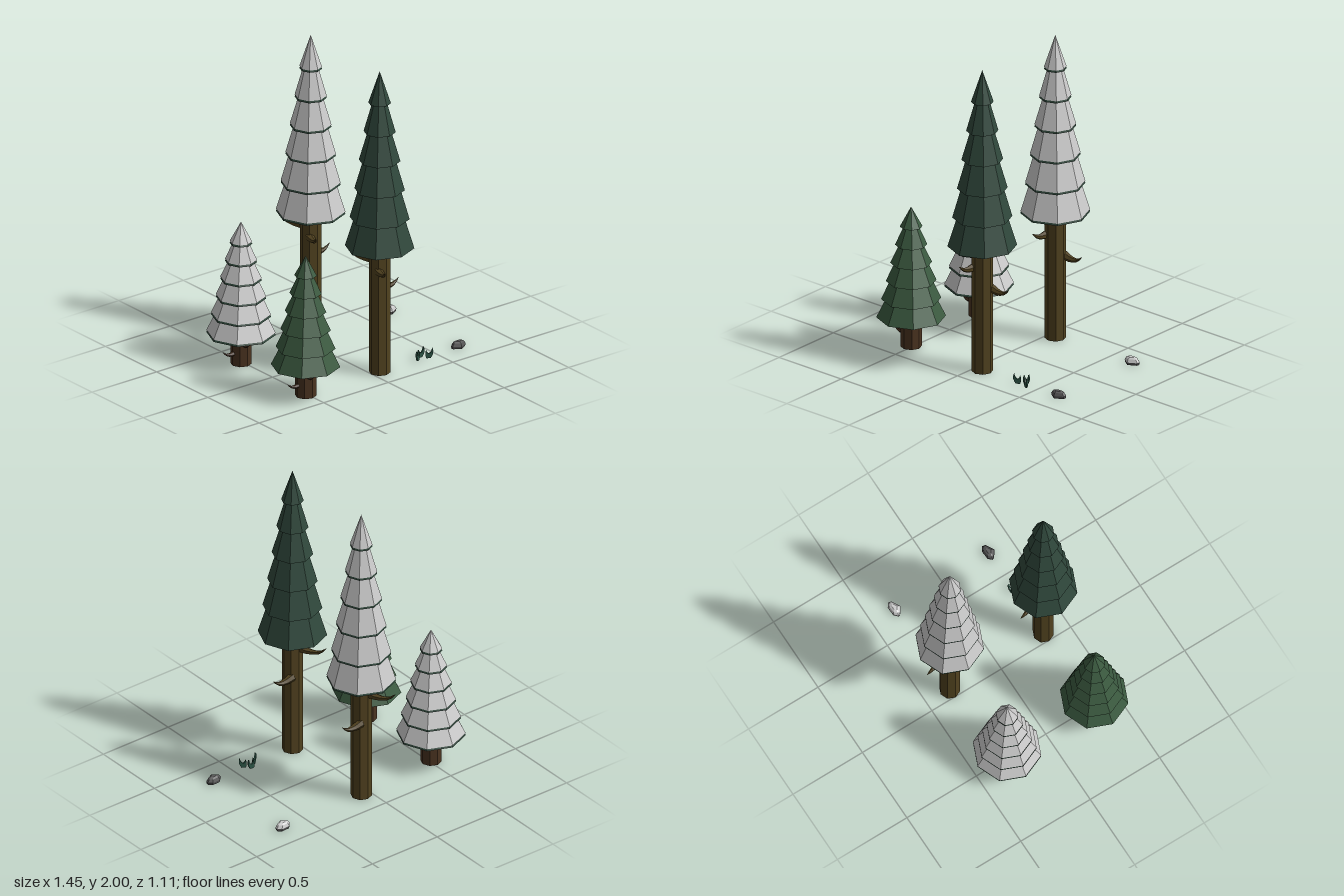
import * as THREE from 'three';
import { ConvexGeometry } from 'three/addons/geometries/ConvexGeometry.js';

const paint = (color) => new THREE.MeshStandardMaterial({ color, flatShading: true, side: THREE.DoubleSide });
const snow = paint(0xcccccc);
const tallGreen = paint(0x30483c);
const shortGreen = paint(0x3b5a40);
const tallBark = paint(0x51421f);
const shortBark = paint(0x4a3320);
const grassGreen = paint(0x2c5546);
const stone = paint(0x555555);

function add(parent, name, geometry, material, x = 0, y = 0, z = 0) {
  const mesh = new THREE.Mesh(geometry, material);
  mesh.name = name;
  mesh.position.set(x, y, z);
  parent.add(mesh);
  return mesh;
}

// Broken branch: a bent tube narrowing to a point
function branchGeometry(points, radius) {
  const segments = 6, sides = 6;
  const curve = new THREE.CatmullRomCurve3(points.map((p) => new THREE.Vector3(...p)));
  const geometry = new THREE.TubeGeometry(curve, segments, radius, sides);
  const pos = geometry.attributes.position, v = new THREE.Vector3();
  for (let i = 0; i < pos.count; i++) {
    const t = Math.floor(i / (sides + 1)) / segments;
    const c = curve.getPointAt(t);
    v.fromBufferAttribute(pos, i).sub(c).multiplyScalar(1 - 0.95 * Math.pow(t, 1.3)).add(c);
    pos.setXYZ(i, v.x, v.y, v.z);
  }
  geometry.computeVertexNormals();
  return geometry;
}

// Bottom radius and top radius of the six skirts, lowest first
const skirts = [[0.212, 0.154], [0.183, 0.129], [0.154, 0.1], [0.127, 0.072], [0.098, 0.045], [0.069, 0]];

const tallTree = {
  leaf: tallGreen, bark: tallBark, start: 0.827, step: 0.19, apex: 1.985, branchRadius: 0.028,
  branches: [
    [[-0.015, 0.735, -0.03], [-0.045, 0.732, -0.12], [-0.07, 0.748, -0.18], [-0.09, 0.787, -0.22]],
    [[0.03, 0.545, -0.04], [0.09, 0.53, -0.04], [0.14, 0.535, -0.04], [0.178, 0.565, -0.04]],
    [[-0.035, 0.685, 0.03], [-0.045, 0.68, 0.08], [-0.055, 0.687, 0.11], [-0.065, 0.71, 0.137]],
  ],
};
const shortTree = {
  leaf: shortGreen, bark: shortBark, start: 0.196, step: 0.119, apex: 0.92, branchRadius: 0.017,
  branches: [
    [[-0.04, 0.08, 0], [-0.09, 0.077, 0], [-0.115, 0.085, 0], [-0.138, 0.105, 0]],
    [[-0.02, 0.148, 0.04], [-0.025, 0.145, 0.08], [-0.03, 0.165, 0.122]],
    [[0, 0.148, -0.04], [0, 0.142, -0.08], [0, 0.15, -0.118]],
  ],
};

function makeTree(name, kind, x, z, snowy) {
  const tree = new THREE.Group();
  tree.name = name;
  tree.position.set(x, 0, z);
  const trunkHeight = kind.start + 0.03;
  add(tree, 'trunk', new THREE.CylinderGeometry(0.065, 0.065, trunkHeight, 8), kind.bark, 0, trunkHeight / 2, 0);
  kind.branches.forEach((points) => add(tree, 'branch', branchGeometry(points, kind.branchRadius), kind.bark));
  skirts.forEach(([bottom, top], i) => {
    const low = kind.start + i * kind.step;
    const high = i === 5 ? kind.apex : low + kind.step;
    const geometry = new THREE.CylinderGeometry(top, bottom, high - low, 8);
    const mid = (low + high) / 2;
    add(tree, 'foliageTier', geometry, snowy ? tallGreen : kind.leaf, 0, mid, 0);
    // Snow lies as the same skirt lifted a little
    if (snowy) add(tree, 'snowTier', geometry, snow, 0, mid + 0.014, 0);
  });
  return tree;
}

// Rock: convex stone with a pointed front, from shrinking rings
function rockGeometry(levels) {
  const outline = [[-0.053, -0.006], [-0.028, -0.03], [0.03, -0.033], [0.055, -0.014], [0.052, 0.006], [-0.003, 0.037], [-0.05, 0.006]];
  const points = [];
  for (const [y, s] of levels) for (const [x, z] of outline) points.push(new THREE.Vector3(x * s, y, z * s));
  return new ConvexGeometry(points);
}

function makeRock(name, z, snowy) {
  const rock = new THREE.Group();
  rock.name = name;
  rock.position.set(0.67, 0, z);
  add(rock, 'stone', rockGeometry([[0, 0.92], [0.016, 0.99], [0.034, 0.75], [0.042, 0.4]]), stone);
  if (snowy) add(rock, 'snowCap', rockGeometry([[0.017, 1], [0.036, 0.76], [0.045, 0.41]]), snow);
  return rock;
}

// Grass: thin curved blades with the tip leaning to +x
function bladeGeometry() {
  const shape = new THREE.Shape();
  shape.moveTo(-0.018, 0);
  shape.lineTo(0.008, 0);
  shape.quadraticCurveTo(0.034, 0.03, 0.02, 0.066);
  shape.quadraticCurveTo(0.012, 0.03, -0.004, 0.03);
  shape.quadraticCurveTo(-0.013, 0.036, -0.018, 0.052);
  shape.quadraticCurveTo(-0.028, 0.025, -0.018, 0);
  const geometry = new THREE.ExtrudeGeometry(shape, { depth: 0.01, bevelEnabled: false, curveSegments: 4 });
  return geometry.translate(0, 0, -0.005);
}

export function createModel() {
  const model = new THREE.Group();
  model.name = 'winterForest';

  model.add(makeTree('tallGreenTree', tallTree, 0.06, 0.34, false));
  model.add(makeTree('tallSnowyTree', tallTree, 0.06, -0.333, true));
  model.add(makeTree('shortGreenTree', shortTree, -0.513, 0.34, false));
  model.add(makeTree('shortSnowyTree', shortTree, -0.515, -0.288, true));

  model.add(makeRock('bareRock', 0.34, false));
  model.add(makeRock('snowyRock', -0.337, true));

  const grass = new THREE.Group();
  grass.name = 'grassTuft';
  for (const [x, z, turn] of [[0.396, 0.318, 0], [0.349, 0.348, Math.PI + 0.55], [0.429, 0.358, -0.5]]) {
    add(grass, 'grassBlade', bladeGeometry(), grassGreen, x, 0, z).rotation.y = turn;
  }
  model.add(grass);
  return model;
}
